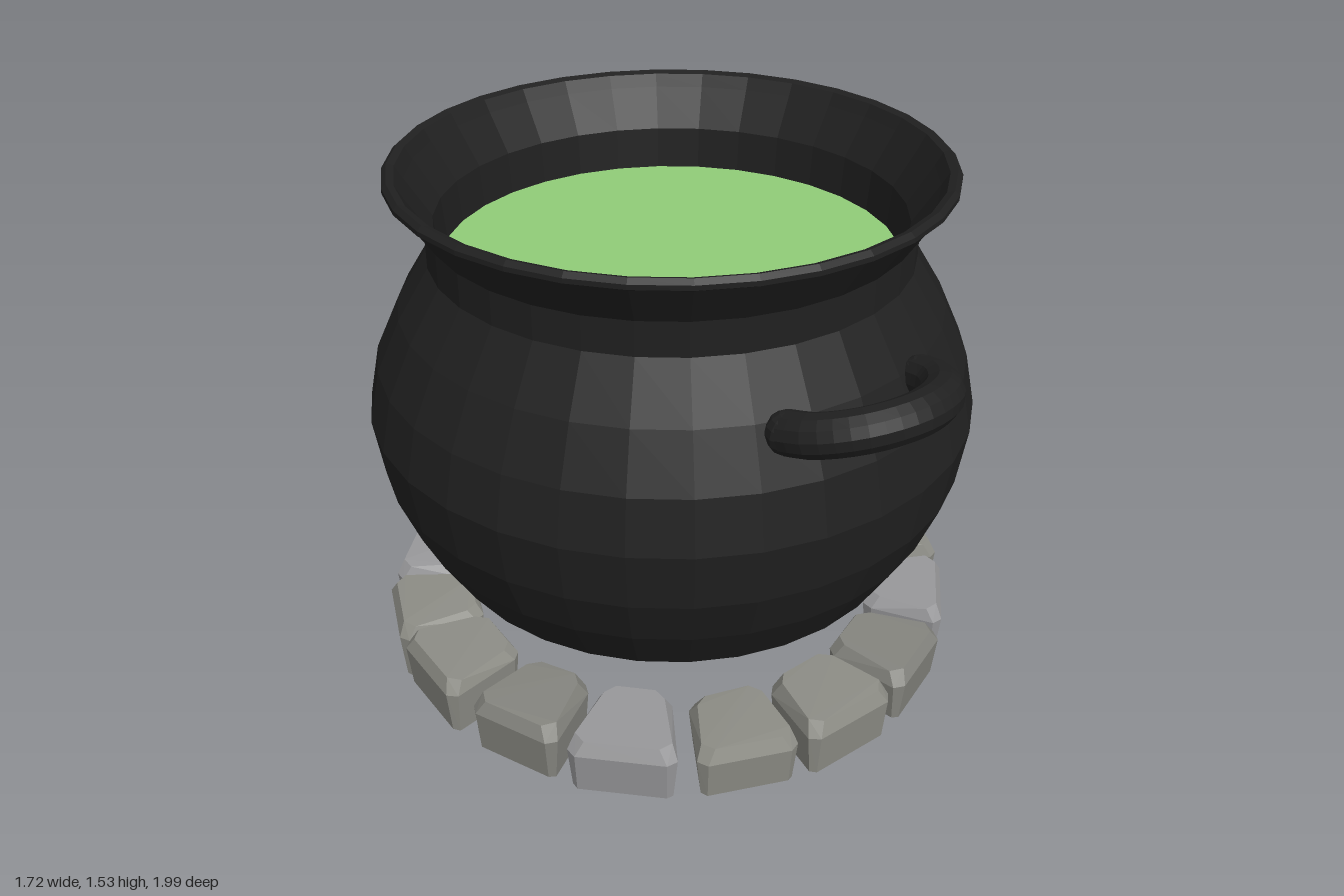
import * as THREE from 'three';
import { ConvexGeometry } from 'three/addons/geometries/ConvexGeometry.js';

const mat = (color, side = THREE.FrontSide) =>
  new THREE.MeshStandardMaterial({ color, side, flatShading: true });

function add(parent, name, geometry, material) {
  const mesh = new THREE.Mesh(geometry, material);
  mesh.name = name;
  parent.add(mesh);
  return mesh;
}

// small seeded generator, returns -1..1
function makeJitter(seed) {
  return () => {
    seed = (seed * 16807) % 2147483647;
    return (seed / 2147483647) * 2 - 1;
  };
}

// wedge-shaped stone: narrow on the inside of the ring, worn top edges
function stoneGeometry(jitter, low) {
  const y0 = low ? 0.0 : 0.033 + 0.008 * jitter();
  const y1 = 0.192 + 0.014 * jitter();
  const inner = 0.6 + 0.012 * jitter();
  const outer = 0.845 + 0.012 * jitter();
  const wIn = 0.108 + 0.006 * jitter();
  const wOut = 0.148 + 0.01 * jitter();
  const points = [];
  // height, inset of the cross-section, cut of the corners
  for (const [y, inset, cut] of [[y0, 0.012, 0.015], [y1 - 0.04, 0, 0.025], [y1, 0.018, 0.03]]) {
    for (const side of [-1, 1]) {
      const slope = 0.008 * jitter();
      const a = wIn - inset, b = wOut - inset;
      points.push(
        new THREE.Vector3(side * (a - cut), y + slope, inner + inset),
        new THREE.Vector3(side * a, y + slope, inner + inset + cut),
        new THREE.Vector3(side * b, y + slope * 0.5, outer - inset - cut),
        new THREE.Vector3(side * (b - cut), y, outer - inset)
      );
    }
  }
  return new ConvexGeometry(points);
}

export function createModel() {
  const model = new THREE.Group();
  model.name = 'cauldronOnStones';
  const iron = mat(0x202020, THREE.DoubleSide);

  const cauldron = new THREE.Group();
  cauldron.name = 'cauldron';
  cauldron.position.x = 0.01;
  model.add(cauldron);

  // pot: outside from bottom to lip, then down the inside of the neck
  const profile = [
    [0, 0.145], [0.22, 0.16], [0.42, 0.21], [0.585, 0.285], [0.69, 0.365],
    [0.78, 0.515], [0.837, 0.66], [0.862, 0.83], [0.83, 0.98], [0.76, 1.13],
    [0.67, 1.275], [0.67, 1.37], [0.745, 1.485], [0.768, 1.497], [0.768, 1.51],
    [0.755, 1.522], [0.735, 1.515], [0.715, 1.48], [0.645, 1.37], [0.632, 1.22]
  ].map(([r, y]) => new THREE.Vector2(r, y));
  add(cauldron, 'pot', new THREE.LatheGeometry(profile, 32), iron);

  // liquid surface
  const liquid = new THREE.CircleGeometry(0.635, 32).rotateX(-Math.PI / 2);
  add(cauldron, 'liquid', liquid, mat(0x90cc78, THREE.DoubleSide)).position.y = 1.25;

  // handles: arched bars with rounded ends, front and back
  const half = [[0.225, 1.105, 0.745], [0.205, 1.125, 0.82], [0.125, 1.152, 0.905]];
  const path = new THREE.CatmullRomCurve3([
    ...half.map(([x, y, z]) => new THREE.Vector3(-x, y, z)),
    new THREE.Vector3(0, 1.165, 0.942),
    ...half.slice().reverse().map(([x, y, z]) => new THREE.Vector3(x, y, z))
  ]);
  const bar = new THREE.TubeGeometry(path, 20, 0.057, 12);
  const cap = new THREE.SphereGeometry(0.057, 12, 8);
  for (const [name, turn] of [['frontHandle', 0], ['backHandle', Math.PI]]) {
    const handle = new THREE.Group();
    handle.name = name;
    handle.rotation.y = turn;
    add(handle, 'handleBar', bar, iron);
    for (const t of [0, 1]) add(handle, 'handleEnd', cap, iron).position.copy(path.getPoint(t));
    cauldron.add(handle);
  }

  // ring of stones
  const ring = new THREE.Group();
  ring.name = 'stoneRing';
  model.add(ring);
  const greys = [0x8c8c85, 0x98989a, 0x85857f].map((c) => mat(c));
  const jitter = makeJitter(4711);
  const count = 16;
  for (let i = 0; i < count; i++) {
    const stone = add(ring, 'stone', stoneGeometry(jitter, i === 9), greys[(i * 5 + (i >> 2)) % 3]);
    stone.rotation.y = (i / count) * Math.PI * 2 - 0.02 + 0.025 * jitter();
  }
  return model;
}
